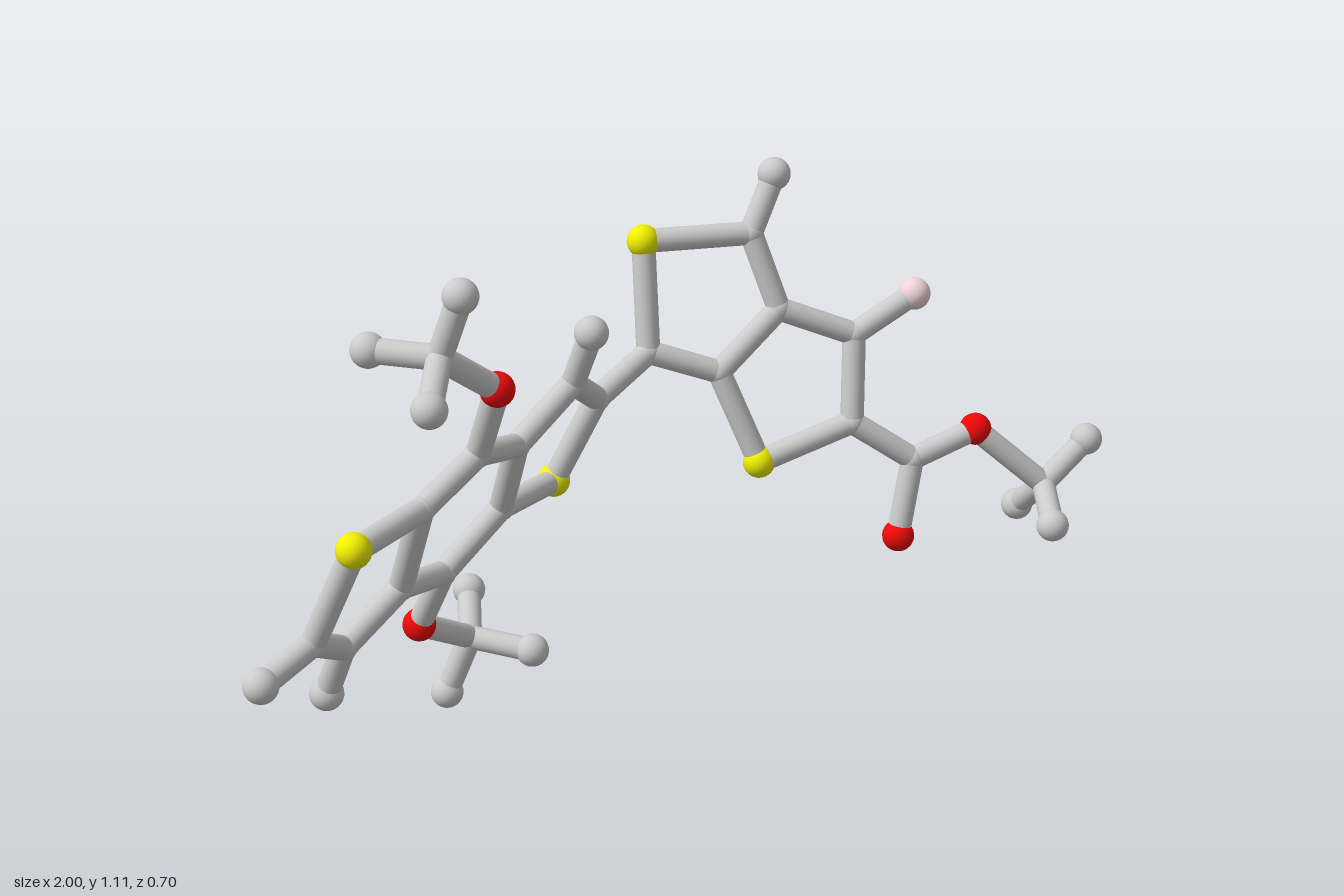
import * as THREE from 'three';

const BOND = 0.0245, JOINT = 0.0265, BALL = 0.034;
const COLORS = { C: 0xcccccc, H: 0xcccccc, S: 0xf0f000, O: 0xee0808, F: 0xf0d4d8 };
const NAMES = { C: 'carbonJoint', H: 'hydrogenBall', S: 'sulfurBall', O: 'oxygenBall', F: 'fluorineBall' };

// Each flat ring system lies in its own tilted plane
const leftPlane = (x, y) => -0.02 + 0.47 * (y - 0.555) - 0.42 * (x + 0.445);
const rightPlane = (x, y) => -0.044 + 0.401 * x - 0.242 * y;

// Atoms: key (first letter is the element), x, y and, when off the plane, z
const LEFT = [
  ['S1', -0.78, 0.64], ['C1', -0.835, 0.435], ['C2', -0.73, 0.36],
  ['C3', -0.585, 0.437], ['C4', -0.59, 0.64], ['C5', -0.445, 0.705],
  ['C6', -0.31, 0.66], ['C7', -0.295, 0.49], ['C8', -0.445, 0.395],
  ['C9', -0.165, 0.75], ['C10', -0.045, 0.655], ['S2', -0.115, 0.47],
  ['H1', -0.967, 0.407], ['H2', -0.745, 0.245], ['H3', -0.155, 0.87],
  // upper methoxy
  ['O1', -0.445, 0.863, 0.125], ['C11', -0.575, 0.962, 0.14],
  ['H4', -0.545, 1.083, 0.17], ['H5', -0.66, 0.915, 0.243], ['H6', -0.66, 0.96, 0.03],
  // lower methoxy
  ['O2', -0.46, 0.253, -0.17], ['C12', -0.315, 0.162, -0.215],
  ['H7', -0.36, 0.037, -0.239], ['H8', -0.255, 0.213, -0.314], ['H9', -0.235, 0.155, -0.103],
];
const RIGHT = [
  ['C13', 0.105, 0.71], ['S3', 0.125, 0.933], ['C14', 0.335, 0.932],
  ['C15', 0.37, 0.775], ['C16', 0.237, 0.657], ['S4', 0.292, 0.465],
  ['C17', 0.487, 0.528], ['C18', 0.513, 0.71],
  ['H10', 0.395, 1.047], ['F1', 0.643, 0.782],
  // ester
  ['C19', 0.6, 0.44], ['O3', 0.56, 0.275, 0.1], ['O4', 0.737, 0.488, 0.13],
  ['C20', 0.865, 0.358, 0.212],
  ['H11', 0.965, 0.443, 0.23], ['H12', 0.8, 0.317, 0.316], ['H13', 0.88, 0.27, 0.117],
];

// Chains of bonded atoms
const CHAINS = [
  'C4 S1 C1 C2 C3 C4 C5 C6 C7 C8 C3', 'C6 C9 C10 S2 C7',
  'C1 H1', 'C2 H2', 'C9 H3',
  'C5 O1 C11 H4', 'H5 C11 H6', 'C8 O2 C12 H7', 'H8 C12 H9',
  'C10 C13 S3 C14 C15 C16 C13', 'C16 S4 C17 C18 C15',
  'C14 H10', 'C18 F1', 'O3 C19 C17', 'C19 O4 C20 H11', 'H12 C20 H13',
];

export function createModel() {
  const model = new THREE.Group();
  model.name = 'moleculeModel';
  const materials = {};
  for (const k in COLORS) materials[k] = new THREE.MeshStandardMaterial({ color: COLORS[k] });

  // Atom balls and small carbon joints
  const positions = {};
  const ballGeo = new THREE.SphereGeometry(BALL, 24, 16);
  const jointGeo = new THREE.SphereGeometry(JOINT, 24, 16);
  const addAtoms = (list, plane) => {
    for (const [key, x, y, z = plane(x, y)] of list) {
      const element = key[0];
      const atom = new THREE.Mesh(element === 'C' ? jointGeo : ballGeo, materials[element]);
      atom.name = NAMES[element];
      atom.position.set(x, y, z);
      positions[key] = atom.position;
      model.add(atom);
    }
  };
  addAtoms(LEFT, leftPlane);
  addAtoms(RIGHT, rightPlane);

  // Bond rods between neighbouring atoms
  const rodGeo = new THREE.CylinderGeometry(BOND, BOND, 1, 20, 1, true);
  const up = new THREE.Vector3(0, 1, 0);
  const addBond = (a, b) => {
    const dir = b.clone().sub(a);
    const rod = new THREE.Mesh(rodGeo, materials.C);
    rod.name = 'bond';
    rod.scale.y = dir.length();
    rod.position.copy(a).add(b).multiplyScalar(0.5);
    rod.quaternion.setFromUnitVectors(up, dir.normalize());
    model.add(rod);
  };
  for (const chain of CHAINS) {
    const keys = chain.split(' ');
    for (let i = 1; i < keys.length; i++) addBond(positions[keys[i - 1]], positions[keys[i]]);
  }
  return model;
}
